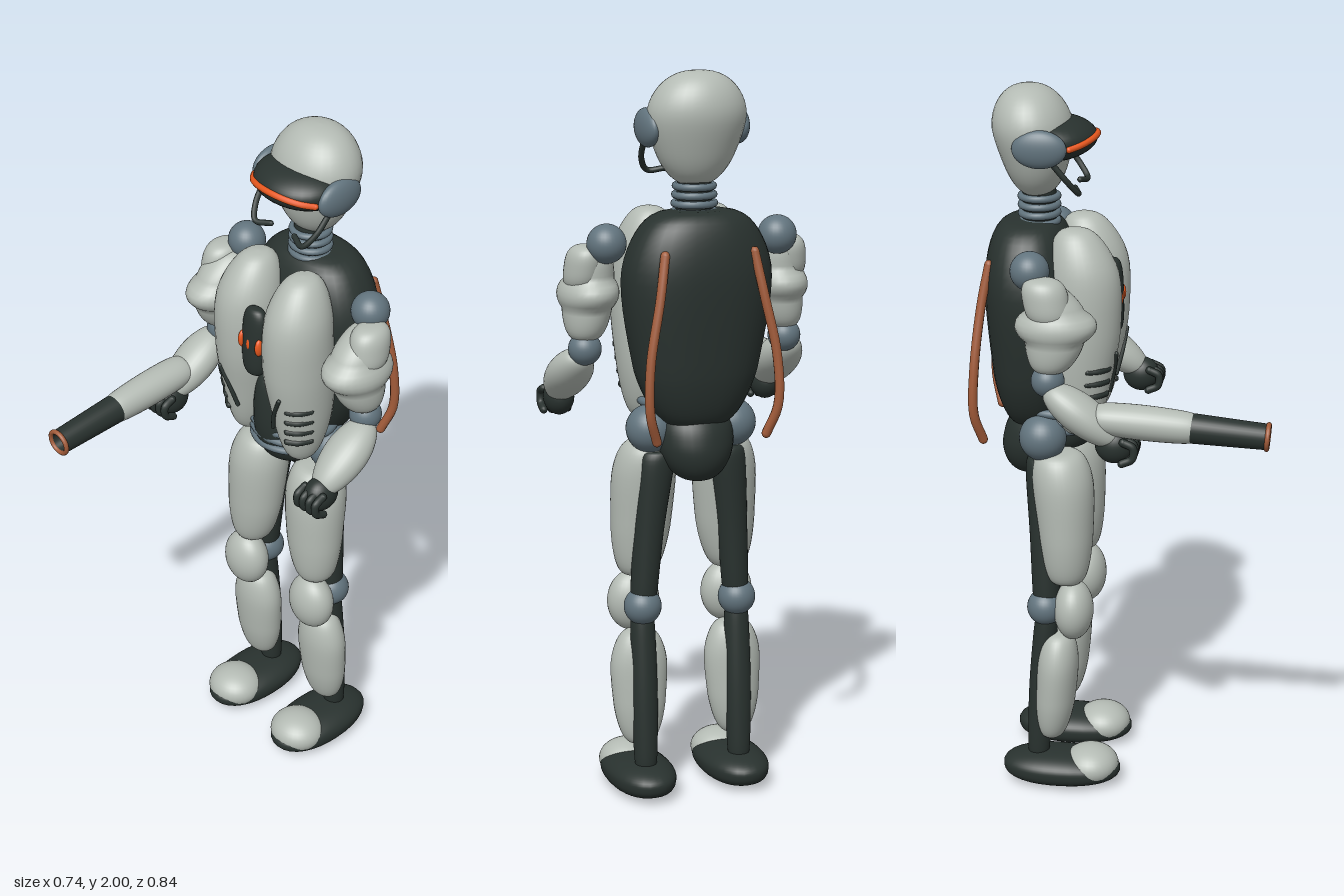
import * as THREE from 'three';

const mat = (name, color) => {
  const m = new THREE.MeshStandardMaterial({ color });
  m.name = name;
  return m;
};

export function createModel() {
  const model = new THREE.Group();
  const shell = mat('pale shell', 0xb4bbb4);
  const dark = mat('dark frame', 0x29322f);
  const slate = mat('slate joint', 0x62747e);
  const copper = mat('copper cable', 0xa35c3a);
  const orange = mat('orange glow', 0xe8581e);

  const add = (name, geo, m) => {
    const mesh = new THREE.Mesh(geo, m);
    mesh.name = name;
    model.add(mesh);
    return mesh;
  };

  // Rounded body through sections [y, cx, cz, rx, rz]; p squares the ends, e squares the outline
  const loftGeo = (keys, p = 3, e = 2, rows = 28, cols = 32) => {
    const c1 = new THREE.CatmullRomCurve3(keys.map(k => new THREE.Vector3(k[1], k[0], k[2])));
    const c2 = new THREE.CatmullRomCurve3(keys.map(k => new THREE.Vector3(k[3], 0, k[4])));
    const y0 = keys[0][0], y1 = keys[keys.length - 1][0];
    const pos = [], idx = [];
    const pw = v => Math.sign(v) * Math.pow(Math.abs(v), 2 / e);
    for (let i = 0; i <= rows; i++) {
      const t = (1 - Math.cos(Math.PI * i / rows)) / 2;
      const c = c1.getPoint(t), r = c2.getPoint(t);
      const s = Math.min(1, Math.abs(2 * (c.y - y0) / (y1 - y0) - 1));
      const f = Math.max(0.001, Math.pow(1 - Math.pow(s, p), 1 / p));
      for (let j = 0; j < cols; j++) {
        const a = j / cols * Math.PI * 2;
        pos.push(c.x + r.x * f * pw(Math.cos(a)), c.y, c.z + r.z * f * pw(Math.sin(a)));
        if (i < rows) {
          const k = (j + 1) % cols, A = i * cols, B = A + cols;
          idx.push(A + j, B + j, A + k, A + k, B + j, B + k);
        }
      }
    }
    const g = new THREE.BufferGeometry();
    g.setAttribute('position', new THREE.Float32BufferAttribute(pos, 3));
    g.setIndex(idx);
    g.computeVertexNormals();
    return g;
  };
  const loft = (name, m, keys, p, e) => add(name, loftGeo(keys, p, e), m);

  const ball = (name, m, x, y, z, rx, ry = rx, rz = rx) => {
    const b = add(name, new THREE.SphereGeometry(1, 32, 20), m);
    b.position.set(x, y, z);
    b.scale.set(rx, ry, rz);
    return b;
  };
  // Bent rod with rounded ends
  const rod = (name, m, pts, r, n = 24) => {
    const v = pts.map(p => new THREE.Vector3(...p));
    add(name, new THREE.TubeGeometry(new THREE.CatmullRomCurve3(v), n, r, 10), m);
    for (const q of [v[0], v[v.length - 1]]) {
      const cap = add(name + 'End', new THREE.SphereGeometry(r, 10, 8), m);
      cap.position.copy(q);
    }
  };
  // Place a y-up mesh so that it runs from a towards b
  const aim = (mesh, a, b) => {
    const A = new THREE.Vector3(...a), d = new THREE.Vector3(...b).sub(A);
    mesh.position.copy(A);
    mesh.quaternion.setFromUnitVectors(new THREE.Vector3(0, 1, 0), d.normalize());
    return mesh;
  };
  const ring = (name, m, y, z, rx, rz, t) => {
    const g = new THREE.TorusGeometry(1, t / rx, 10, 36).rotateX(Math.PI / 2);
    const r = add(name, g, m);
    r.scale.set(rx, rx, rz);
    r.position.set(0, y, z);
  };

  // Head, visor and glowing band
  loft('head', shell, [[1.695, 0, -0.25, 0.095, 0.078], [1.79, 0, -0.253, 0.115, 0.093],
    [1.9, 0, -0.262, 0.137, 0.112], [2.0, 0, -0.272, 0.128, 0.105]], 2.5);
  loft('visor', dark, [[1.8, 0, -0.2, 0.126, 0.09], [1.86, 0, -0.2, 0.131, 0.115],
    [1.915, 0, -0.2, 0.126, 0.1]], 2.4);
  const band = [];
  for (let i = -5; i <= 5; i++) {
    const x = i * 0.0232;
    band.push([x, 1.868 - 1.4 * x * x, -0.2 + 0.114 * Math.sqrt(1 - (x / 0.132) ** 2)]);
  }
  rod('visorBand', orange, band, 0.009, 40);

  // Neck
  loft('neckCore', dark, [[1.58, 0, -0.245, 0.05, 0.05], [1.74, 0, -0.245, 0.045, 0.045]], 8);
  for (let i = 0; i < 4; i++) ring('neckRing', slate, 1.625 + i * 0.023, -0.245, 0.056 - i * 0.002, 0.05, 0.01);

  // Torso, waist and pelvis
  loft('backShell', dark, [[1.05, 0, -0.265, 0.12, 0.085], [1.2, 0, -0.26, 0.17, 0.115],
    [1.45, 0, -0.265, 0.207, 0.128], [1.635, 0, -0.27, 0.165, 0.11]], 5, 2.3);
  loft('waistCore', dark, [[0.98, 0, -0.2, 0.09, 0.1], [1.1, 0, -0.17, 0.085, 0.105],
    [1.3, 0, -0.15, 0.06, 0.09]], 5);
  for (let i = 0; i < 3; i++) ring('waistRing', slate, 1.055 + i * 0.027, -0.19, 0.112 + i * 0.008, 0.11, 0.012);
  loft('pelvis', dark, [[0.9, 0, -0.275, 0.075, 0.075], [1.0, 0, -0.255, 0.105, 0.1],
    [1.1, 0, -0.235, 0.11, 0.1]], 3);

  // Chest core light
  loft('chestPlate', dark, [[1.315, 0, -0.04, 0.042, 0.028], [1.525, 0, -0.045, 0.042, 0.028]], 3.5);
  for (const x of [-0.033, 0, 0.033]) ball('chestLight', orange, x, 1.42, -0.026, 0.01, 0.026, 0.014);

  for (const s of [1, -1]) {
    const L = (name, m, keys, p, e) => loft(name, m, keys.map(([y, x, ...k]) => [y, x * s, ...k]), p, e);
    const S = (name, m, x, ...k) => ball(name, m, x * s, ...k);
    const R = (name, m, pts, r) => rod(name, m, pts.map(([x, y, z]) => [x * s, y, z]), r);

    // Ear pad and jaw bar
    S('earPad', slate, 0.125, 1.85, -0.225, 0.027, 0.052, 0.074);
    R('jawBar', dark, [[0.122, 1.81, -0.19], [0.115, 1.76, -0.15], [0.09, 1.725, -0.125], [0.045, 1.73, -0.14]], 0.008);

    // Chest shell with rib vents and belly groove
    L('chestShell', shell, [[1.05, 0.105, -0.125, 0.06, 0.075], [1.2, 0.1, -0.128, 0.078, 0.093],
      [1.35, 0.095, -0.115, 0.092, 0.104], [1.5, 0.095, -0.112, 0.093, 0.104],
      [1.63, 0.088, -0.135, 0.08, 0.09]], 3.2);
    for (let i = 0; i < 4; i++) {
      const y = 1.25 - i * 0.037, d = i * 0.004;
      R('ribVent', dark, [[0.13 - d, y, -0.041 - d], [0.155 - d, y, -0.06 - d], [0.17 - d, y, -0.092 - d]], 0.009);
    }
    R('bellyGroove', dark, [[0.118, 1.29, -0.02], [0.09, 1.23, -0.03], [0.072, 1.17, -0.044]], 0.006);

    // Back cable
    R('backCable', copper, [[0.125, 1.53, -0.365], [0.145, 1.42, -0.385], [0.178, 1.25, -0.402],
      [0.18, 1.12, -0.405], [0.155, 1.04, -0.385]], 0.013);

    // Upper arm
    S('shoulderBall', slate, 0.242, 1.55, -0.235, 0.053);
    L('upperArm', shell, [[1.285, 0.285, -0.178, 0.055, 0.06], [1.37, 0.275, -0.165, 0.066, 0.08],
      [1.45, 0.268, -0.165, 0.066, 0.08], [1.53, 0.265, -0.2, 0.055, 0.055]], 4);
    L('shoulderPad', shell, [[1.42, 0.297, -0.175, 0.05, 0.06], [1.545, 0.286, -0.195, 0.05, 0.063]], 3);
    S('elbowBall', slate, 0.287, 1.262, -0.183, 0.045);

    // Forearm and curled hand
    const fore = loftGeo([[0, 0, 0, 0.05, 0.042], [0.11, 0, 0, 0.064, 0.052], [0.24, 0, 0, 0.046, 0.04]], 3);
    aim(add('forearm', fore, shell), [0.302 * s, 1.245, -0.185], [0.307 * s, 1.11, 0]);
    S('hand', dark, 0.305, 1.095, -0.002, 0.042, 0.05, 0.052);
    for (let i = 0; i < 4; i++) {
      const x = 0.272 + i * 0.023;
      R('finger', dark, [[x, 1.115, 0.025], [x, 1.1, 0.052], [x, 1.07, 0.05], [x, 1.055, 0.022]], 0.011);
    }

    // Leg frame and joints
    S('hipBall', slate, 0.118, 1.04, -0.225, 0.066);
    L('thighFrame', dark, [[0.53, 0.137, -0.217, 0.036, 0.038], [0.75, 0.122, -0.222, 0.042, 0.042],
      [0.98, 0.1, -0.23, 0.055, 0.05]], 8);
    S('kneeBall', slate, 0.138, 0.54, -0.22, 0.052);
    L('shinFrame', dark, [[0.07, 0.138, -0.245, 0.032, 0.032], [0.3, 0.138, -0.235, 0.036, 0.034],
      [0.53, 0.138, -0.215, 0.034, 0.034]], 8);

    // Leg shells
    L('thigh', shell, [[0.615, 0.133, -0.16, 0.062, 0.062], [0.75, 0.124, -0.162, 0.083, 0.076],
      [0.9, 0.117, -0.17, 0.089, 0.086], [1.0, 0.11, -0.183, 0.08, 0.083]], 5);
    S('kneeCap', shell, 0.138, 0.536, -0.14, 0.074, 0.087, 0.056);
    L('shin', shell, [[0.14, 0.14, -0.205, 0.056, 0.044], [0.25, 0.139, -0.195, 0.074, 0.056],
      [0.36, 0.138, -0.187, 0.081, 0.059], [0.465, 0.137, -0.183, 0.066, 0.054]], 4);

    // Foot
    L('foot', dark, [[0, 0.138, -0.178, 0.09, 0.167], [0.05, 0.138, -0.178, 0.093, 0.168],
      [0.096, 0.138, -0.195, 0.08, 0.145]], 2.6, 2.2);
    S('toeCap', shell, 0.138, 0.056, -0.094, 0.083, 0.057, 0.08);
  }

  // Arm cannon on the right forearm
  const X = -0.307, a = [X, 1.172, -0.06], b = [X, 1.136, 0.41];
  const sleeve = loftGeo([[0, 0, 0, 0.05, 0.042], [0.13, 0, 0, 0.05, 0.047], [0.29, 0, 0, 0.042, 0.043]], 6);
  aim(add('cannonSleeve', sleeve, shell), a, b);
  const profile = [[0.041, 0.25], [0.035, 0.468], [0.024, 0.468], [0.023, 0.4], [0, 0.4]];
  const barrel = new THREE.LatheGeometry(profile.map(p => new THREE.Vector2(...p)), 32);
  aim(add('cannonBarrel', barrel, dark), a, b);
  const muzzle = new THREE.TorusGeometry(0.033, 0.007, 10, 32).rotateX(Math.PI / 2).translate(0, 0.469, 0);
  aim(add('muzzleRing', muzzle, copper), a, b);

  return model;
}
